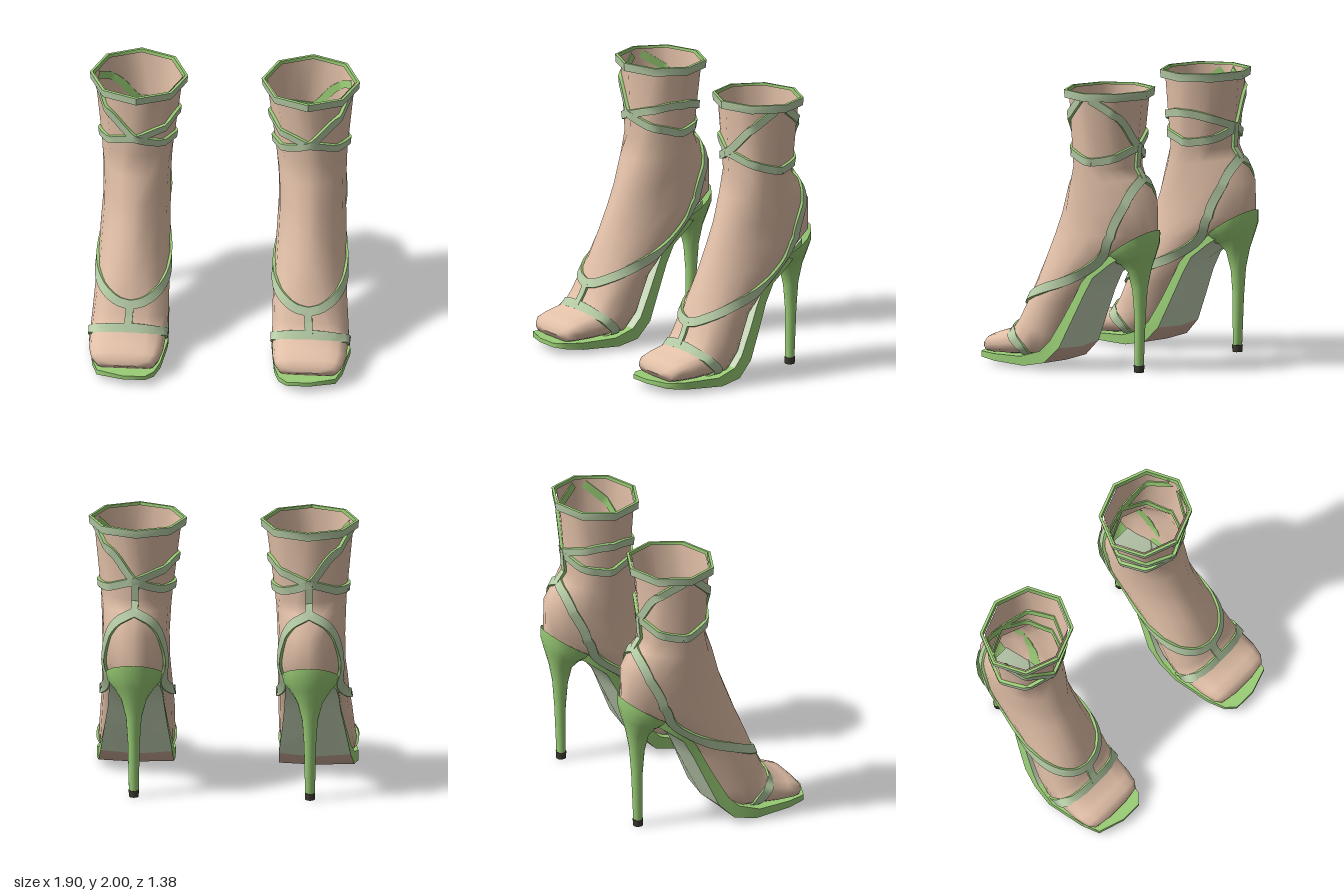
import * as THREE from 'three';

const mat = (name, color) => {
  const m = new THREE.MeshStandardMaterial({ color, side: THREE.DoubleSide });
  m.name = name;
  return m;
};

// Surface through rows of points; wrap joins the last column to the first
function grid(rows, wrap = false, skip = () => false) {
  const n = rows[0].length, pos = [], index = [];
  rows.forEach(row => row.forEach(p => pos.push(p.x, p.y, p.z)));
  for (let i = 0; i < rows.length - 1; i++) {
    for (let j = 0; j < (wrap ? n : n - 1); j++) {
      if (skip(i, j)) continue;
      const k = (j + 1) % n, a = i * n + j, b = a + n, c = (i + 1) * n + k, d = i * n + k;
      index.push(a, b, c, a, c, d);
    }
  }
  const g = new THREE.BufferGeometry();
  g.setAttribute('position', new THREE.Float32BufferAttribute(pos, 3));
  g.setIndex(index);
  g.computeVertexNormals();
  return g;
}

// Rings: front z, y, back z, y, inner x, outer x, roundness power (0 = octagon)
const FOOT = [
  [-0.02, 1.985, -0.575, 1.985, 0.295, 0.915, 0],
  [-0.045, 1.45, -0.53, 1.45, 0.36, 0.865, 0],
  [0.00, 1.30, -0.58, 1.38, 0.37, 0.86, 1],
  [0.06, 1.10, -0.68, 1.22, 0.38, 0.855, 1],
  [0.12, 0.95, -0.685, 0.99, 0.38, 0.855, 1],
  [0.19, 0.77, -0.52, 0.85, 0.375, 0.865, 1],
  [0.26, 0.60, -0.34, 0.70, 0.37, 0.87, 0.95],
  [0.31, 0.45, -0.13, 0.49, 0.365, 0.885, 0.85],
  [0.35, 0.36, -0.01, 0.21, 0.365, 0.90, 0.8],
  [0.40, 0.27, 0.10, 0.09, 0.37, 0.91, 0.75],
  [0.52, 0.23, 0.40, 0.075, 0.385, 0.905, 0.7],
  [0.58, 0.205, 0.53, 0.075, 0.405, 0.885, 0.65],
  [0.615, 0.17, 0.59, 0.075, 0.44, 0.845, 0.65],
  [0.62, 0.121, 0.62, 0.12, 0.56, 0.72, 1],
];
const HEEL = [
  [-0.33, 0.785, -0.695, 1.02, 0.42, 0.82, 1],
  [-0.37, 0.765, -0.695, 0.94, 0.435, 0.805, 1],
  [-0.43, 0.755, -0.675, 0.85, 0.48, 0.76, 1],
  [-0.48, 0.71, -0.645, 0.74, 0.53, 0.71, 1],
  [-0.51, 0.58, -0.62, 0.60, 0.565, 0.675, 1],
  [-0.525, 0.40, -0.605, 0.40, 0.578, 0.662, 1],
  [-0.525, 0.05, -0.59, 0.05, 0.585, 0.655, 1],
];

const bend = (v, e) => Math.sign(v) * Math.pow(Math.abs(v), e);
// Point on a ring: t = 0 is the front, a quarter turn is the outer side
function ringPoint(q, t) {
  const [zf, yf, zb, yb, x0, x1, e] = q;
  let c = bend(Math.cos(t), e), s = bend(Math.sin(t), e);
  if (e === 0) {
    const step = Math.PI / 4, k = Math.floor(t / step + 1e-6), f = t / step - k;
    c = THREE.MathUtils.lerp(Math.cos(k * step), Math.cos((k + 1) * step), f);
    s = THREE.MathUtils.lerp(Math.sin(k * step), Math.sin((k + 1) * step), f);
  }
  return new THREE.Vector3((x0 + x1) / 2 + s * (x1 - x0) / 2,
    (yf + yb) / 2 + c * (yf - yb) / 2, (zf + zb) / 2 + c * (zf - zb) / 2);
}
const loft = (rings, n, skip) => grid(rings.map(q =>
  Array.from({ length: n }, (_, j) => ringPoint(q, j / n * Math.PI * 2))), true, skip);

// Point anywhere on the foot at fractional ring r
function footPoint(r, t) {
  r = Math.min(Math.max(r, 0), FOOT.length - 1.001);
  const i = Math.floor(r);
  return ringPoint(FOOT[i], t).lerp(ringPoint(FOOT[i + 1], t), r - i);
}

// Strap on the foot along a path of [ring, angle]: its outer face, two edges and lining
function strap(path, width, lift, depth, steps = 8) {
  const curve = new THREE.CatmullRomCurve3(path.map(([r, t]) => new THREE.Vector3(r, t, 0)), false, 'centripetal');
  const n = (path.length - 1) * steps, mids = [], normals = [];
  for (let i = 0; i <= n; i++) {
    const { x: r, y: t } = curve.getPoint(i / n), p = footPoint(r, t), h = 0.04;
    const dr = footPoint(r + h, t).sub(footPoint(r - h, t));
    const dt = footPoint(r, t + h).sub(footPoint(r, t - h));
    const nor = dr.cross(dt).normalize();
    const centre = p.clone().add(footPoint(r, t + Math.PI)).multiplyScalar(0.5);
    if (nor.dot(p.clone().sub(centre)) < 0) nor.negate();
    mids.push(p.addScaledVector(nor, lift));
    normals.push(nor);
  }
  const corners = mids.map((p, i) => {
    const along = mids[Math.min(i + 1, n)].clone().sub(mids[Math.max(i - 1, 0)]);
    const across = normals[i].clone().cross(along).normalize();
    return [[-1, 0], [1, 0], [1, 1], [-1, 1]].map(([s, d]) =>
      p.clone().addScaledVector(across, s * width / 2).addScaledVector(normals[i], -d * depth));
  });
  return [0, 1, 2, 3].map(k => grid(corners.map(c => [c[k], c[(k + 1) % 4]])));
}

// Sole stations from toe to heel: top z, y, bottom z, y, inner x, outer x, keel depth
const SOLE = [
  [0.69, 0.085, 0.69, 0.055, 0.50, 0.66, 0],
  [0.63, 0.085, 0.63, 0.045, 0.44, 0.84, 0.005],
  [0.50, 0.08, 0.50, 0.03, 0.40, 0.88, 0.01],
  [0.25, 0.085, 0.22, 0.02, 0.365, 0.92, 0.01],
  [0.10, 0.13, 0.06, 0.05, 0.37, 0.90, 0.01],
  [0.03, 0.20, -0.05, 0.16, 0.375, 0.88, 0.02],
  [-0.06, 0.36, -0.14, 0.36, 0.40, 0.85, 0.03],
  [-0.14, 0.52, -0.22, 0.54, 0.42, 0.82, 0.035],
  [-0.20, 0.64, -0.29, 0.67, 0.43, 0.81, 0.03],
  [-0.36, 0.80, -0.42, 0.77, 0.44, 0.80, 0],
  [-0.58, 0.93, -0.58, 0.88, 0.50, 0.74, 0],
];
const V = (x, y, z) => new THREE.Vector3(x, y, z);
const soleTop = (q, x) => V(x, q[1], q[0]);
const soleLow = (q, x) => V(x, q[3], q[2]);
const soleKeel = q => V((q[4] + q[5]) / 2, q[3] - q[6] * 0.7, q[2] - q[6]);

export function createModel() {
  const skin = mat('skin', 0xe2c0a8), leather = mat('strapGreen', 0xb6cca6), green = mat('soleGreen', 0x9ace76);
  const shankMat = mat('shankGreen', 0xc8d8ba), outsoleMat = mat('outsoleTan', 0xd2b09c), tipMat = mat('heelTipDark', 0x3c3a30);
  const parts = [];
  const add = (name, geometry, material) => parts.push([name, geometry, material]);
  const addStrap = (name, ...spec) => strap(...spec).forEach((g, k) =>
    add(name + ['Face', 'LowerEdge', 'Lining', 'UpperEdge'][k], g, k === 0 ? leather : green));

  // Hollow leg and foot, open under the arch, with closed toes
  add('foot', loft(FOOT, 16, (i, j) => i >= 4 && i < 7 && (j === 7 || j === 8)), skin);

  // Sole
  const upper = list => grid(list.map(q => [soleTop(q, q[5]), soleTop(q, q[4])]));
  add('toeInsole', upper(SOLE.slice(0, 5)), green);
  add('archInsole', upper(SOLE.slice(4)), shankMat);
  const under = list => grid(list.map(q => [soleLow(q, q[4]), soleKeel(q), soleLow(q, q[5])]));
  add('outsole', under(SOLE.slice(0, 6)), outsoleMat);
  add('shank', under(SOLE.slice(5)), shankMat);
  const rim = [...[...SOLE].reverse().map(q => [soleLow(q, q[4]), soleTop(q, q[4])]),
    ...SOLE.map(q => [soleLow(q, q[5]), soleTop(q, q[5])])];
  add('soleRim', grid(rim), green);

  // Heel cup tapering to a thin heel
  add('heel', loft(HEEL, 16), green);
  const tip = new THREE.CylinderGeometry(0.038, 0.035, 0.05, 10);
  tip.translate(0.62, 0.025, -0.557);
  add('heelTip', tip, tipMat);

  // Ankle straps, given by height and turns around the leg, crossing at front and back
  const leg = list => list.map(([y, turn]) => [(1.985 - y) / 0.535, turn * Math.PI * 2]);
  addStrap('ankleCollar', leg([0, 1, 2, 3, 4, 5, 6, 7, 8].map(k => [1.97, k / 8])), 0.058, 0.035, 0.02, 1);
  addStrap('ankleLoop', leg([[1.5, 0.27], [1.52, 0.35], [1.6, 0.5], [1.71, 0.75], [1.62, 1],
    [1.52, 1.2], [1.5, 1.27]]), 0.055, 0.022, 0.03);
  addStrap('ankleSpiral', leg([[1.95, 0.22], [1.80, 0.115], [1.62, 0], [1.52, -0.2],
    [1.5, -0.28], [1.6, -0.5], [1.8, -0.6], [1.95, -0.73]]), 0.055, 0.022, 0.03);

  // Heel tab and the straps running down each side to the instep
  addStrap('heelTab', [[0.7, Math.PI], [1.3, Math.PI], [2.05, Math.PI]], 0.05, 0.018, 0.02);
  for (const [side, name] of [[1, 'outerSideStrap'], [-1, 'innerSideStrap']]) {
    const path = [[2, 3.14], [2.4, 2.65], [3, 2.28], [4, 2.02], [5, 2.22], [5.5, 2.2], [6, 1.95],
      [6.35, 1.35], [6.75, 0.65], [7.0, 0.25], [7.15, 0]];
    addStrap(name, path.map(([r, t]) => [r, side * t]), 0.065, 0.014, 0.02);
  }
  addStrap('instepBar', [[7.15, 0], [8, 0], [8.85, 0]], 0.055, 0.014, 0.02);
  addStrap('toeStrap', [[9.5, -2.6], [9.3, -2.1], [9.1, -1.4], [8.95, -0.7], [8.8, 0],
    [8.95, 0.7], [9.1, 1.4], [9.3, 2.1], [9.5, 2.6]], 0.065, 0.012, 0.02);

  // Left shoe and its mirrored partner
  const model = new THREE.Group();
  model.name = 'sandalPair';
  for (const side of [1, -1]) {
    const shoe = new THREE.Group();
    shoe.name = side > 0 ? 'leftShoe' : 'rightShoe';
    for (const [name, geometry, material] of parts) {
      const g = geometry.clone();
      if (side < 0) {
        g.scale(-1, 1, 1);
        g.index.array.reverse();
        g.computeVertexNormals();
      }
      const mesh = new THREE.Mesh(g, material);
      mesh.name = name;
      shoe.add(mesh);
    }
    model.add(shoe);
  }
  return model;
}
